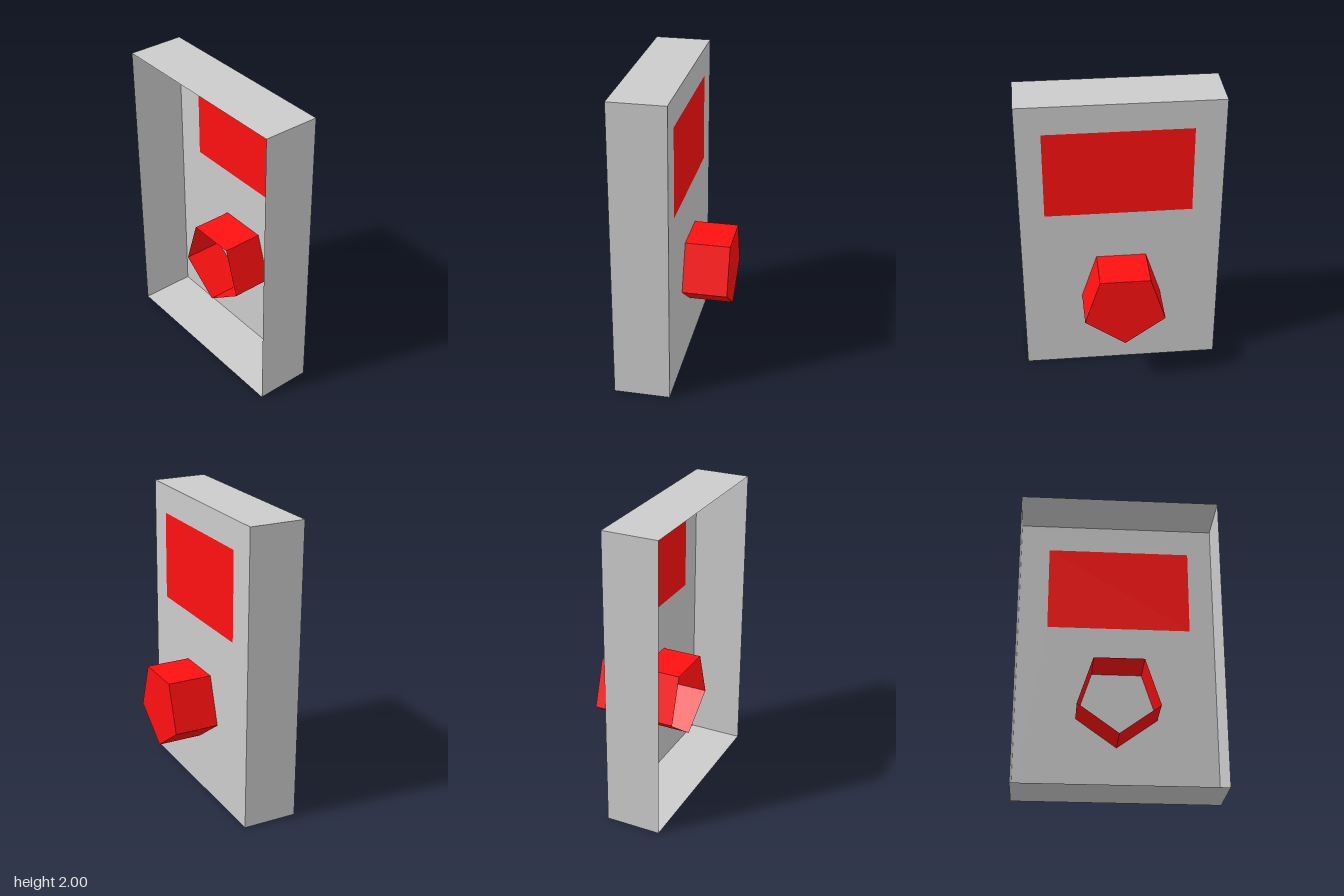
import * as THREE from 'three';

// Straight walls around a counter-clockwise outline, from depth z0 to z1, open at both ends
function sleeve(points, z0, z1) {
  const pos = [];
  points.forEach((a, i) => {
    const b = points[(i + 1) % points.length];
    pos.push(a.x, a.y, z0, b.x, b.y, z0, b.x, b.y, z1);
    pos.push(a.x, a.y, z0, b.x, b.y, z1, a.x, a.y, z1);
  });
  const geometry = new THREE.BufferGeometry();
  geometry.setAttribute('position', new THREE.Float32BufferAttribute(pos, 3));
  geometry.computeVertexNormals();
  return geometry;
}

function rectangle(x0, x1, y0, y1) {
  return [[x0, y0], [x1, y0], [x1, y1], [x0, y1]].map(([x, y]) => new THREE.Vector2(x, y));
}

export function createModel() {
  const grey = new THREE.MeshStandardMaterial({ color: 0xcccccc, flatShading: true, side: THREE.DoubleSide });
  const red = new THREE.MeshStandardMaterial({ color: 0xff1010, flatShading: true, side: THREE.DoubleSide });

  // Parts are drawn facing +z, then the body is turned to face +x
  const body = new THREE.Group();
  body.name = 'body';
  body.rotation.y = Math.PI / 2;
  const add = (name, geometry, material, z = 0) => {
    const mesh = new THREE.Mesh(geometry, material);
    mesh.name = name;
    mesh.position.z = z;
    body.add(mesh);
  };

  const back = -0.333, face = 0.035, knobBack = -0.235, knobFront = 0.333;

  // Open-backed case with a window in its face panel
  const outline = rectangle(-0.66, 0.66, 0, 2);
  const windowOutline = rectangle(-0.497, 0.465, 1.215, 1.81);
  const panel = new THREE.Shape(outline);
  panel.holes.push(new THREE.Path(windowOutline));
  add('caseWalls', sleeve(outline, back, face), grey);
  add('facePanel', new THREE.ShapeGeometry(panel), grey, face);

  // Flush screen filling the window
  add('screen', new THREE.ShapeGeometry(new THREE.Shape(windowOutline)), red, face);

  // Five-sided knob running through the panel, capped in front and hollow behind
  const pentagon = Array.from({ length: 5 }, (_, i) => {
    const angle = -Math.PI / 2 + i * Math.PI * 2 / 5;
    return new THREE.Vector2(0.28 * Math.cos(angle), 0.647 + 0.282 * Math.sin(angle));
  });
  add('knobWalls', sleeve(pentagon, knobBack, knobFront), red);
  add('knobCap', new THREE.ShapeGeometry(new THREE.Shape(pentagon)), red, knobFront);

  const model = new THREE.Group();
  model.name = 'wallUnit';
  model.add(body);
  return model;
}
